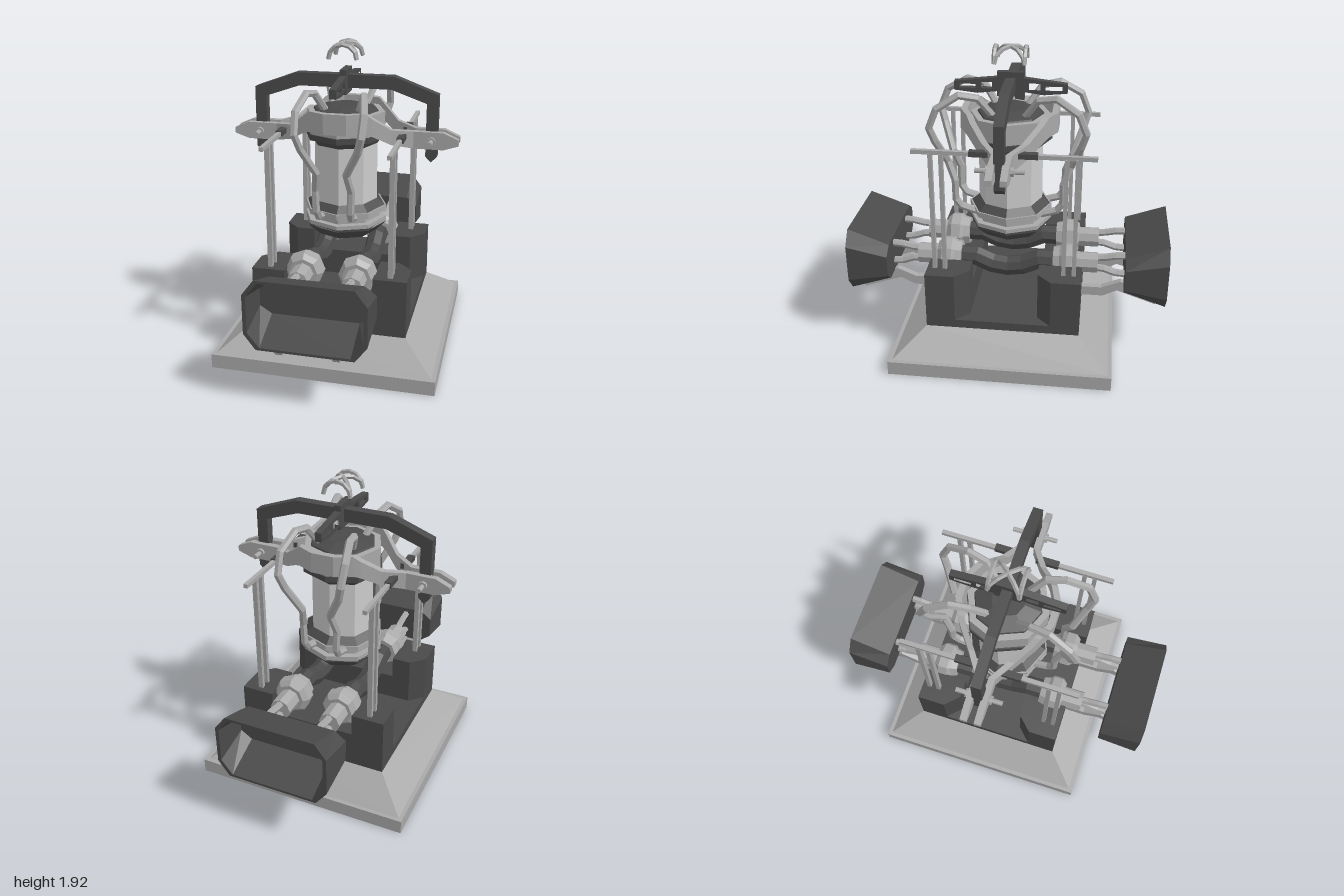
import * as THREE from 'three';

const light = new THREE.MeshStandardMaterial({ color: 0xcccccc, flatShading: true });
const mid = new THREE.MeshStandardMaterial({ color: 0xa8a8a8, flatShading: true });
const dark = new THREE.MeshStandardMaterial({ color: 0x4a4a4a, flatShading: true });
const V = (x, y, z) => new THREE.Vector3(x, y, z);

export function createModel() {
  const model = new THREE.Group();

  function add(name, geometry, material, parent = model) {
    const mesh = new THREE.Mesh(geometry, material);
    mesh.name = name;
    parent.add(mesh);
    return mesh;
  }
  const box = (w, h, d, x, y, z) => new THREE.BoxGeometry(w, h, d).translate(x, y, z);
  const lathe = (pts, sides) => new THREE.LatheGeometry(pts.map(p => new THREE.Vector2(...p)), sides);
  const polygon = pts => new THREE.Shape(pts.map(p => new THREE.Vector2(...p)));
  const extrude = (shape, depth) => new THREE.ExtrudeGeometry(shape, { depth, bevelEnabled: false });

  // Faceted tube with one ring at each point
  function tube(pts, r, sides) {
    const curve = new THREE.CatmullRomCurve3(pts.map(p => V(...p)));
    curve.getPointAt = (t, target) => curve.getPoint(t, target);
    curve.getTangentAt = (t, target) => curve.getTangent(t, target);
    return new THREE.TubeGeometry(curve, pts.length - 1, r, sides);
  }

  // Skin over equal-sized loops of points, capped at both ends
  function loft(loops) {
    const n = loops[0].length, last = (loops.length - 1) * n, index = [];
    for (let i = 0; i < loops.length - 1; i++) {
      for (let j = 0; j < n; j++) {
        const a = i * n + j, b = i * n + (j + 1) % n;
        index.push(a, b, a + n, b, b + n, a + n);
      }
    }
    for (let j = 1; j < n - 1; j++) index.push(0, j + 1, j, last, last + j, last + j + 1);
    const g = new THREE.BufferGeometry();
    g.setAttribute('position', new THREE.Float32BufferAttribute(loops.flat(2), 3));
    g.setIndex(index);
    g.computeVertexNormals();
    return g;
  }

  // Square ring or tray from a half-width profile
  const square = pts => lathe(pts.map(([r, y]) => [r * Math.SQRT2, y]), 4).rotateY(Math.PI / 4);

  // Hollow plinth and the open-bottomed cradle floor above it
  add('plinth', square([[0.66, 0], [0.685, 0], [0.685, 0.09], [0.66, 0.09], [0.475, 0.235],
    [0.455, 0.235], [0.64, 0.085], [0.66, 0]]), mid);
  add('cradleFloor', square([[0, 0.28], [0.455, 0.28], [0.455, 0.225], [0.475, 0.225], [0.475, 0.29], [0, 0.29]]
    ), dark);

  // Four chamfered corner towers
  for (const sx of [-1, 1]) {
    for (const sz of [-1, 1]) {
      const plan = [[0.475, 0.475], [0.475, 0.295], [0.39, 0.21], [0.27, 0.21], [0.27, 0.475]]
        .map(([x, z]) => [x * sx, z * sz]);
      add('cornerTower', extrude(polygon(plan), 0.31).rotateX(-Math.PI / 2).translate(0, 0.29, 0), dark);

      // Twin guide rods with a rail on top
      for (const z of [0.365, 0.428]) {
        add('guideRod', box(0.03, 0.77, 0.025, 0.37 * sx, 0.98, z * sz), mid);
      }
      add('guideRail', box(0.026, 0.025, 0.34, 0.37 * sx, 1.372, 0.37 * sz), mid);
      add('railEnd', box(0.042, 0.032, 0.14, 0.37 * sx, 1.375, 0.13 * sz), dark);

      // Hose from the lower flange up and over the cap
      const hose = [[0.1, 0.87, 0.2], [0.1, 0.9, 0.3], [0.105, 0.95, 0.335], [0.11, 1.08, 0.335], [0.09, 1.2, 0.38],
        [0.17, 1.36, 0.44], [0.195, 1.45, 0.468], [0.2, 1.57, 0.42], [0.17, 1.65, 0.29],
        [0.15, 1.63, 0.18], [0.1, 1.5, 0.09]].map(([x, y, z]) => [x * sx, y, z * sz]);
      add('hose', tube(hose, 0.024, 6), mid);
    }
    // Sagging pipe across the cradle
    const sag = [[-0.32, 0.58], [-0.2, 0.58], [-0.1, 0.535], [0, 0.52], [0.1, 0.535], [0.2, 0.58], [0.32, 0.58]]
      .map(([z, y]) => [0.165 * sx, y, z]);
    add('saggingPipe', tube(sag, 0.064, 8), dark);
  }

  // Horn end assemblies, front and back
  function hornLoop(w, y0, y1, z) {
    const x = w - 0.07, t = (y1 - y0) * 0.22;
    return [[w, y0 + t, z], [w, y1 - t, z], [x, y1, z], [-x, y1, z],
      [-w, y1 - t, z], [-w, y0 + t, z], [-x, y0, z], [x, y0, z]];
  }
  for (const turn of [0, Math.PI]) {
    const end = new THREE.Group();
    end.name = turn ? 'backEnd' : 'frontEnd';
    end.rotation.y = turn;
    model.add(end);
    add('endWall', box(0.54, 0.17, 0.265, 0, 0.375, 0.3425), dark, end);
    add('horn', loft([
      hornLoop(0.35, 0.445, 0.685, 0.74),
      hornLoop(0.35, 0.357, 0.78, 1),
      hornLoop(0.328, 0.372, 0.765, 1),
      hornLoop(0.328, 0.465, 0.67, 0.765)
    ]), dark, end);
    for (const sx of [-1, 1]) {
      const x = 0.165 * sx;
      const coupling = [[0, 0.29], [0.09, 0.29], [0.1, 0.33], [0.118, 0.35], [0.118, 0.41],
        [0.09, 0.44], [0.066, 0.44], [0.066, 0.57], [0, 0.57]];
      // The axis turns from y to z
      add('coupling', lathe(coupling, 8).rotateX(Math.PI / 2).translate(x, 0.58, 0), mid, end);
      for (const s of [-1, 1]) {
        add('hornPipe', tube([[x, 0.58 + 0.035 * s, 0.55], [x, 0.58 + 0.04 * s, 0.61],
          [x, 0.575 + 0.06 * s, 0.68], [x, 0.575 + 0.065 * s, 0.75]], 0.023, 6), mid, end);
      }
      // Bent arm under the horn
      const arm = polygon([[0.46, 0.35], [0.61, 0.35], [0.7, 0.395], [0.945, 0.31], [0.98, 0.36],
        [0.72, 0.46], [0.6, 0.41], [0.46, 0.41]]);
      add('supportArm', extrude(arm, 0.042).rotateY(-Math.PI / 2).translate(x + 0.021, 0, 0), mid, end);
    }
  }

  // Eight-sided central vessel
  add('vesselFoot', lathe([[0, 0.72], [0.19, 0.72], [0.26, 0.785], [0.26, 0.8], [0, 0.8]], 8), dark);
  add('lowerFlange', lathe([[0.22, 0.79], [0.26, 0.79], [0.26, 0.825], [0.22, 0.825], [0.22, 0.865],
    [0.26, 0.865], [0.26, 0.9], [0.22, 0.9]], 8), mid);
  add('lowerCollar', lathe([[0.25, 0.9], [0.2, 0.94]], 8), dark);
  add('vesselBody', lathe([[0.2, 0.78], [0.2, 1.4]], 8), light);
  add('upperCollar', lathe([[0.2, 1.3], [0.225, 1.34], [0.255, 1.34], [0.255, 1.375], [0.2, 1.375]], 8), dark);
  add('upperFlange', lathe([[0.2, 1.375], [0.245, 1.375], [0.245, 1.5], [0.2, 1.5]], 8), mid);
  add('vesselCap', lathe([[0.21, 1.49], [0.2, 1.51], [0.1, 1.535], [0, 1.535]], 8), dark);

  // Yoke: two mirrored straps bowing around the vessel (x, z, low y, high y)
  const half = [[0.7, 0.042, 1.325, 1.36], [0.61, 0.042, 1.295, 1.4], [0.43, 0.042, 1.295, 1.4],
    [0.31, 0.12, 1.33, 1.42], [0.21, 0.2, 1.395, 1.5], [0.17, 0.225, 1.41, 1.535], [0.07, 0.275, 1.41, 1.535]];
  const strap = [...half.map(([x, ...r]) => [-x, ...r]), ...half.slice().reverse()];
  for (const s of [-1, 1]) {
    add('yokeStrap', loft(strap.map(([x, z, lo, hi]) => {
      const a = z * s - 0.02, b = z * s + 0.02;
      return [[x, lo, a], [x, hi, a], [x, hi, b], [x, lo, b]];
    })), mid);
    // Pin with a collar against each strap
    for (const [r, length] of [[0.015, 0.28], [0.028, 0.16]]) {
      add('yokePin', new THREE.CylinderGeometry(r, r, length, 8)
        .rotateX(Math.PI / 2).translate(0.537 * s, 1.345, 0), mid);
    }
  }

  // Lifting beam with two pointed legs
  const beamHalf = [[0.3, 1.72], [0.57, 1.62], [0.57, 1.24], [0.535, 1.205], [0.5, 1.24], [0.5, 1.565], [0.285, 1.64]];
  const beam = [...beamHalf, ...beamHalf.slice().reverse().map(([x, y]) => [-x, y])];
  add('liftingBeam', extrude(polygon(beam), 0.06).translate(0, 0, -0.03), dark);

  // Cross bracket over the beam, with a window in each wing
  const wing = [[0.08, 1.755], [0.08, 1.72], [0.34, 1.69], [0.34, 1.635], [0.2, 1.62], [0.08, 1.635], [0.08, 1.605]];
  const bracket = polygon([...wing, ...wing.slice().reverse().map(([z, y]) => [-z, y])]);
  for (const s of [-1, 1]) {
    for (const [a, b, lo, hi] of [[0.11, 0.18, 1.65, 1.69], [0.21, 0.31, 1.65, 1.675]]) {
      bracket.holes.push(polygon([[a * s, lo], [b * s, lo], [b * s, hi], [a * s, hi]]));
    }
  }
  add('crossBracket', extrude(bracket, 0.04).rotateY(-Math.PI / 2).translate(0.02, 0, 0), dark);

  // Lifting hook: two side arches and a crossed pair
  for (const [z0, z1] of [[0.09, 0.09], [-0.09, -0.09], [0.09, -0.09], [-0.09, 0.09]]) {
    const arch = [];
    for (let i = 0; i <= 6; i++) {
      const a = Math.PI * i / 6;
      arch.push([-0.086 * Math.cos(a), 1.82 + 0.088 * Math.sin(a), z0 + (z1 - z0) * (1 - Math.cos(a)) / 2]);
    }
    add('hookArch', tube(arch, 0.014, 5), mid);
  }
  return model;
}
